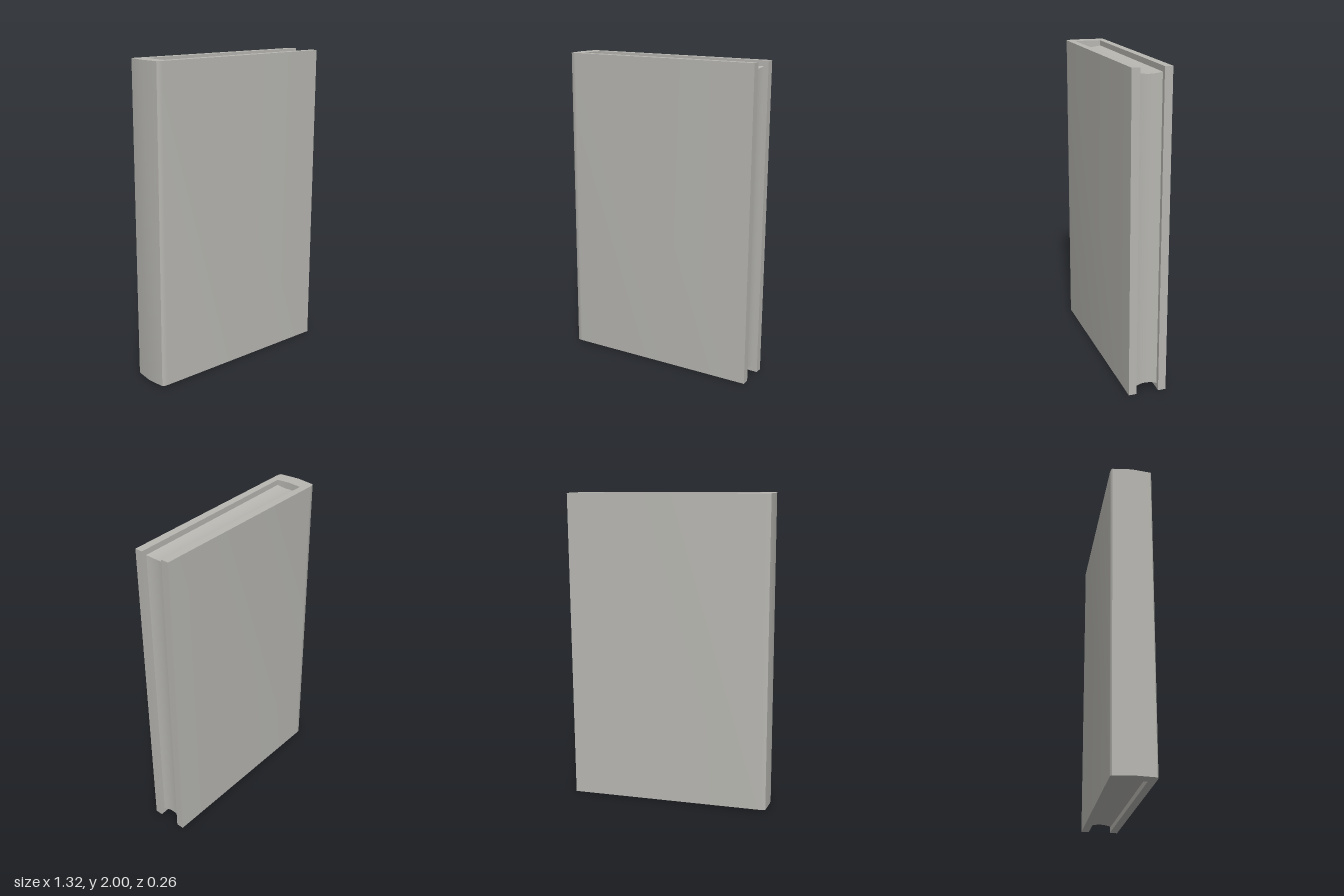
import * as THREE from 'three';
import { toCreasedNormals } from 'three/addons/utils/BufferGeometryUtils.js';

const HEIGHT = 1.992;

// Wrap-around cover: outline seen from above, mirrored across z = 0
function coverGeometry() {
  const half = [
    [-0.653, 0], [-0.639, 0.122], [-0.631, 0.128], [-0.605, 0.131],
    [0.651, 0.12], [0.651, 0.071], [-0.556, 0.085], [-0.564, 0],
  ];
  const pts = half.map(([x, z]) => new THREE.Vector2(x, z));
  const mirrored = half.slice(1, -1).reverse().map(([x, z]) => new THREE.Vector2(x, -z));
  const shape = new THREE.Shape([...pts, ...mirrored]);
  const geo = new THREE.ExtrudeGeometry(shape, { depth: HEIGHT, bevelEnabled: false });
  geo.rotateX(-Math.PI / 2);
  geo.translate(0, -HEIGHT / 2, 0);
  return toCreasedNormals(geo, 0.6);
}

// Page block: tapers towards the fore edge, hollowed on its three open sides
function pagesGeometry() {
  const geo = new THREE.BoxGeometry(2, 2, 2, 1, 1, 10);
  const p = geo.attributes.position;
  for (let i = 0; i < p.count; i++) {
    const x = p.getX(i), y = p.getY(i), z = p.getZ(i);
    const hollow = 0.01 * (1 - z * z);
    const px = x > 0 ? 0.621 - hollow : -0.558 - hollow * 0.8;
    const py = y * (HEIGHT / 2 - 0.034 - hollow);
    const pz = z * (x > 0 ? 0.0714 : 0.085);
    p.setXYZ(i, px, py, pz);
  }
  geo.computeVertexNormals();
  return geo;
}

export function createModel() {
  const group = new THREE.Group();
  group.name = 'book';
  const grey = new THREE.MeshStandardMaterial({ color: 0xb8b7b2 });
  grey.name = 'warm grey';

  const cover = new THREE.Mesh(coverGeometry(), grey);
  cover.name = 'cover';
  const pages = new THREE.Mesh(pagesGeometry(), grey);
  pages.name = 'pages';

  // The book leans very slightly to one side
  const book = new THREE.Group();
  book.name = 'leaningBook';
  book.add(cover, pages);
  book.rotation.z = -0.006;
  book.position.set(0.001, 1, 0);
  group.add(book);
  return group;
}
